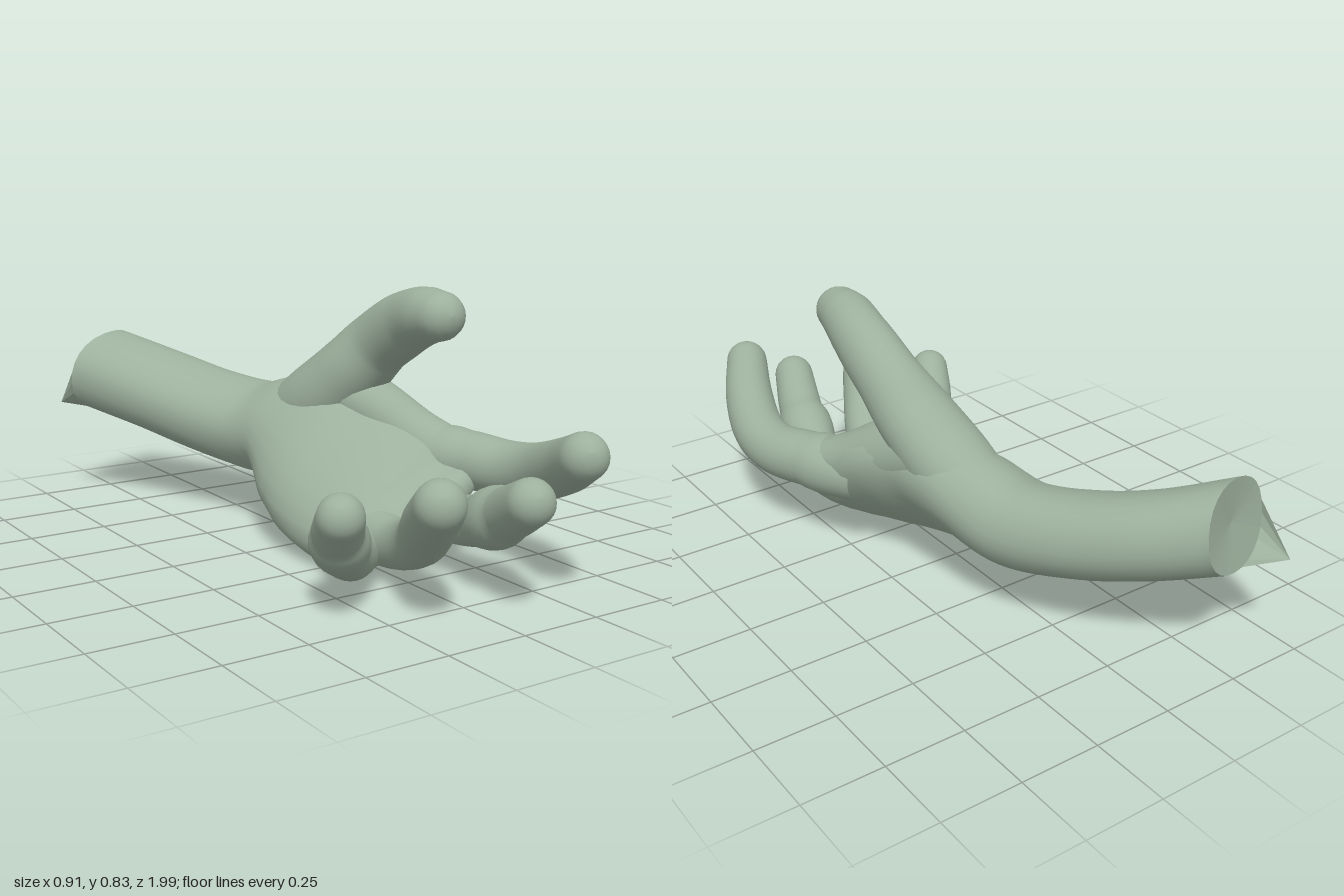
import * as THREE from 'three';

const SIDES = 24;
const skin = new THREE.MeshStandardMaterial({ color: 0x9db09d });
const skinThin = new THREE.MeshStandardMaterial({ color: 0x9db09d, side: THREE.DoubleSide });

// Smooth skin over elliptical sections [x, y, z, halfWidth, halfThickness, tilt in degrees].
// upright turns the sections towards the z axis; power below 1 makes them squarer.
function loft(stations, { steps = 8, upright = 0, power = 1 } = {}) {
  const path = new THREE.CatmullRomCurve3(stations.map(s => new THREE.Vector3(s[0], s[1], s[2])));
  const size = new THREE.CatmullRomCurve3(
    stations.map(s => new THREE.Vector3(s[3], s[4], (s[5] || 0) * Math.PI / 180)));
  const rings = (stations.length - 1) * steps;
  const capRings = 6;
  const pos = [], index = [];
  const bend = v => Math.sign(v) * Math.abs(v) ** power;

  for (let i = 0; i <= rings + capRings; i++) {
    const t = Math.min(i / rings, 1);
    const c = path.getPoint(t), q = size.getPoint(t);
    const T = path.getTangent(t).lerp(new THREE.Vector3(0, 0, 1), upright).normalize();
    const S = new THREE.Vector3(Math.cos(q.z), Math.sin(q.z), 0);
    S.addScaledVector(T, -S.dot(T)).normalize();
    const N = T.clone().cross(S);
    // rounded tip past the last section
    const a = Math.max(0, i - rings) / capRings * Math.PI / 2;
    c.addScaledVector(T, Math.min(q.x, q.y) * Math.sin(a));
    const k = Math.max(Math.cos(a), 0.001);
    for (let j = 0; j < SIDES; j++) {
      const th = j / SIDES * Math.PI * 2;
      const p = c.clone()
        .addScaledVector(S, q.x * k * bend(Math.cos(th)))
        .addScaledVector(N, q.y * k * bend(Math.sin(th)));
      pos.push(p.x, p.y, p.z);
      if (i > 0) {
        const j2 = (j + 1) % SIDES, r0 = (i - 1) * SIDES, r1 = i * SIDES;
        index.push(r0 + j, r0 + j2, r1 + j, r0 + j2, r1 + j2, r1 + j);
      }
    }
  }
  const g = new THREE.BufferGeometry();
  g.setAttribute('position', new THREE.Float32BufferAttribute(pos, 3));
  g.setIndex(index);
  g.computeVertexNormals();
  return g;
}

// Flat-shaded triangle fan from a centre through a row of points
function fan(center, points) {
  const pos = [];
  for (let i = 0; i + 1 < points.length; i++)
    pos.push(...center.toArray(), ...points[i + 1].toArray(), ...points[i].toArray());
  const g = new THREE.BufferGeometry();
  g.setAttribute('position', new THREE.Float32BufferAttribute(pos, 3));
  g.computeVertexNormals();
  return g;
}

export function createModel() {
  const hand = new THREE.Group();
  hand.name = 'hand';
  const add = (name, geometry, material = skin) => {
    const m = new THREE.Mesh(geometry, material);
    m.name = name;
    hand.add(m);
  };

  // Forearm, wrist and palm in one sweep
  const arm = loft([
    [-0.285, 0.465, -0.92, 0.165, 0.135, 8],
    [-0.15, 0.40, -0.75, 0.165, 0.13, 12],
    [-0.055, 0.35, -0.58, 0.165, 0.13, 15],
    [0.03, 0.32, -0.38, 0.165, 0.135, 25],
    [0.06, 0.34, -0.2, 0.205, 0.14, 42],
    [0.055, 0.30, -0.02, 0.27, 0.135, 44],
    [0.075, 0.255, 0.11, 0.295, 0.125, 38],
    [0.09, 0.21, 0.23, 0.29, 0.12, 32],
    [0.11, 0.18, 0.34, 0.275, 0.105, 26],
    [0.12, 0.19, 0.42, 0.23, 0.06, 25],
  ], { upright: 0.5, power: 0.9 });
  add('forearmAndPalm', arm);

  // Thumb with its broad base
  add('thumb', loft([
    [0.06, 0.34, -0.34, 0.09, 0.08, 10],
    [0.11, 0.44, -0.13, 0.135, 0.125, 20],
    [0.15, 0.55, -0.005, 0.125, 0.115, 15],
    [0.18, 0.65, 0.1, 0.1, 0.105, 5],
    [0.18, 0.73, 0.25, 0.09, 0.097],
    [0.163, 0.762, 0.36, 0.085, 0.085],
    [0.155, 0.768, 0.425, 0.076, 0.074],
  ]));

  // Web of skin between thumb and index finger
  add('thumbWeb', loft([
    [0.14, 0.48, -0.08, 0.11, 0.12, 50],
    [0.19, 0.43, 0.06, 0.1, 0.11, 45],
    [0.25, 0.36, 0.2, 0.09, 0.085, 35],
    [0.31, 0.31, 0.34, 0.08, 0.07, 30],
  ]));

  // Fingers: centre line and radius from the palm to the tip
  const fingers = {
    indexFinger: [
      [0.24, 0.31, 0.17, 0.09], [0.325, 0.31, 0.36, 0.09], [0.37, 0.302, 0.5, 0.086],
      [0.372, 0.32, 0.62, 0.085], [0.325, 0.375, 0.78, 0.08], [0.255, 0.44, 0.925, 0.069]],
    middleFinger: [
      [0.12, 0.2, 0.2, 0.085], [0.15, 0.19, 0.38, 0.08], [0.168, 0.18, 0.49, 0.073],
      [0.165, 0.205, 0.62, 0.076], [0.13, 0.265, 0.77, 0.076], [0.072, 0.342, 0.925, 0.067]],
    ringFinger: [
      [0.0, 0.16, 0.2, 0.085], [-0.01, 0.125, 0.38, 0.082], [-0.025, 0.135, 0.5, 0.073],
      [-0.05, 0.185, 0.62, 0.076], [-0.12, 0.275, 0.75, 0.077], [-0.195, 0.365, 0.885, 0.07]],
    littleFinger: [
      [-0.06, 0.13, 0.22, 0.09], [-0.105, 0.105, 0.36, 0.088], [-0.17, 0.115, 0.46, 0.07],
      [-0.255, 0.165, 0.545, 0.072], [-0.335, 0.25, 0.635, 0.072], [-0.388, 0.325, 0.725, 0.065]],
  };
  for (const [name, points] of Object.entries(fingers))
    add(name, loft(points.map(([x, y, z, r]) => [x, y, z, r, r])));

  // Cut end of the forearm
  const rim = [];
  for (let j = 0; j <= SIDES; j++)
    rim.push(new THREE.Vector3().fromBufferAttribute(arm.attributes.position, j % SIDES));
  add('forearmEnd', fan(new THREE.Vector3(-0.285, 0.465, -0.9), rim), skinThin);

  // Torn flap hanging from the lower outer rim
  const low = rim.slice().sort((a, b) => a.y - b.y)[0];
  const start = rim.findIndex(p => p === low);
  const outer = rim.findIndex(p => p.x === Math.min(...rim.map(q => q.x)));
  const arc = rim.slice(Math.min(start, outer), Math.max(start, outer) + 1);
  add('forearmFlap', fan(new THREE.Vector3(-0.43, 0.345, -1), arc), skinThin);
  return hand;
}
